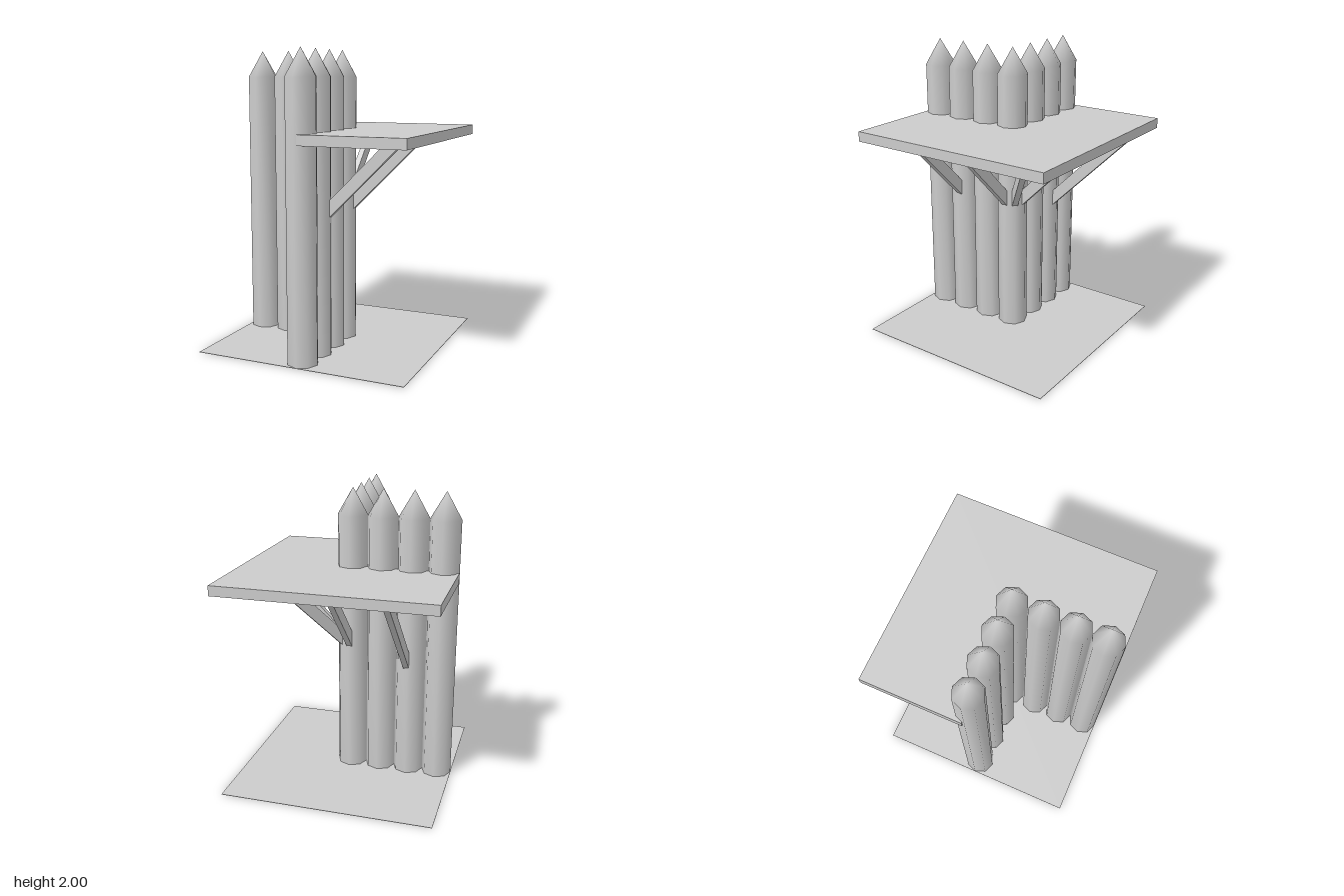
import * as THREE from 'three';
import { mergeVertices } from 'three/addons/utils/BufferGeometryUtils.js';

const HALF = 0.722; // half the base width
const RADIUS = 0.103; // post radius
const STEP = 0.206; // distance between posts

function polygon(points) {
  return new THREE.Shape(points.map(([x, y]) => new THREE.Vector2(x, y)));
}

// Eight-sided sharpened log, smoothed over all its faces
function postGeometry() {
  const profile = [[0, 0], [RADIUS, 0], [RADIUS, 1.822], [0, 2]];
  const geo = new THREE.LatheGeometry(profile.map(([r, y]) => new THREE.Vector2(r, y)), 8);
  geo.deleteAttribute('normal');
  geo.deleteAttribute('uv');
  const merged = mergeVertices(geo);
  merged.computeVertexNormals();
  return merged;
}

// Slanted brace with a vertical foot and a level top, pointing along +x
function braceGeometry(drop) {
  const foot = 0.92 - drop;
  const reach = 0.58 + drop;
  const geo = new THREE.ExtrudeGeometry(
    polygon([[0.09, foot], [reach, 1.41], [reach - 0.11, 1.41], [0.09, foot + 0.11]]),
    { depth: 0.04, bevelEnabled: false });
  geo.translate(0, 0, -0.02);
  return geo;
}

export function createModel() {
  const group = new THREE.Group();
  const wood = new THREE.MeshStandardMaterial({ color: 0xcccccc });
  wood.name = 'light grey';

  function add(name, geometry, x = 0, y = 0, z = 0, turn = 0) {
    const mesh = new THREE.Mesh(geometry, wood);
    mesh.name = name;
    mesh.position.set(x, y, z);
    mesh.rotation.y = turn;
    group.add(mesh);
  }

  // Thin ground sheet
  add('ground', new THREE.BoxGeometry(2 * HALF, 0.003, 2 * HALF), 0, 0.004, 0);

  // Two rows of posts sharing a corner post
  const post = postGeometry();
  add('cornerPost', post);
  for (let i = 1; i <= 3; i++) {
    add('sidePost', post, -i * STEP, 0, 0);
    add('frontPost', post, 0, 0, i * STEP);
  }

  // L-shaped walkway around the outside of the corner
  const inner = 0.02;
  const deck = new THREE.ExtrudeGeometry(
    polygon([[-HALF, inner], [inner, inner], [inner, -HALF], [HALF, -HALF], [HALF, HALF], [-HALF, HALF]]),
    { depth: 0.068, bevelEnabled: false });
  deck.rotateX(-Math.PI / 2);
  add('walkway', deck, 0, 1.408, 0);

  // Braces under the walkway: three on the corner post, one on each row
  const brace = braceGeometry(0);
  for (let i = 0; i < 3; i++) add('cornerBrace', brace, 0, 0, 0, i * Math.PI / 4);
  add('frontBrace', brace, 0, 0, 0.4, 0);
  add('sideBrace', braceGeometry(0.12), -0.4, 0, 0, Math.PI / 2);

  return group;
}
